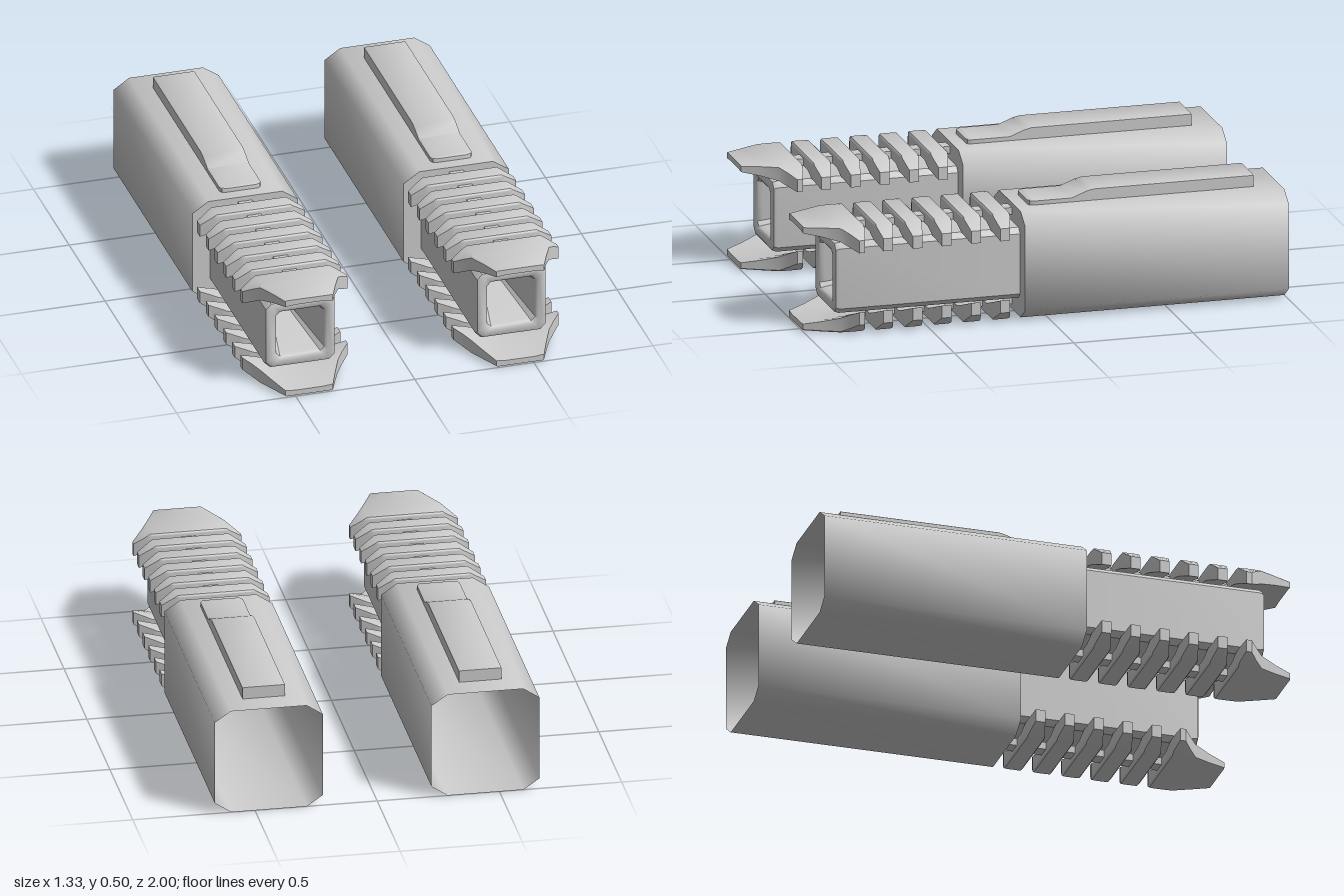
import * as THREE from 'three';
import { toCreasedNormals } from 'three/addons/utils/BufferGeometryUtils.js';

const CENTRE_X = 0.443;
const CENTRE_Y = 0.2225;

// Skin a row of matching cross-sections (counter-clockwise seen from +z).
function loft(stations, { capStart = true, capEnd = true, crease = 0.7 } = {}) {
  const n = stations[0].points.length;
  const positions = [];
  const index = [];
  for (const { z, points } of stations) {
    for (const [x, y] of points) positions.push(x, y, z);
  }
  for (let s = 0; s < stations.length - 1; s++) {
    for (let i = 0; i < n; i++) {
      const a = s * n + i;
      const b = s * n + (i + 1) % n;
      index.push(a, b, b + n, a, b + n, a + n);
    }
  }
  const cap = (s, flip) => {
    const contour = stations[s].points.map(([x, y]) => new THREE.Vector2(x, y));
    for (const [a, b, c] of THREE.ShapeUtils.triangulateShape(contour, [])) {
      index.push(s * n + a, s * n + (flip ? c : b), s * n + (flip ? b : c));
    }
  };
  if (capStart) cap(0, true);
  if (capEnd) cap(stations.length - 1, false);
  const geometry = new THREE.BufferGeometry();
  geometry.setAttribute('position', new THREE.Float32BufferAttribute(positions, 3));
  geometry.setIndex(index);
  return toCreasedNormals(geometry, crease);
}

// Rectangle with cut corners, centred on the barrel axis.
function cutRect(w, h, cx, cy) {
  return [
    [w, -h + cy], [w, h - cy], [w - cx, h], [-w + cx, h],
    [-w, h - cy], [-w, -h + cy], [-w + cx, -h], [w - cx, -h],
  ];
}

// Saddle-shaped section: flat crown, sloping shoulders, arched underside.
function saddle(z, w, low, mid, top) {
  const crown = Math.min(0.155, w * 0.95);
  const shoulder = Math.max(low + 0.01, top - (w - crown) * 0.69);
  const inner = Math.min(0.085, w * 0.6);
  const points = [
    [w, low], [w, shoulder], [crown, top], [-crown, top],
    [-w, shoulder], [-w, low], [-inner, mid], [inner, mid],
  ].map(([x, y]) => [x, y - CENTRE_Y]);
  return { z, points };
}

function createUnit() {
  const unit = new THREE.Group();
  const solid = new THREE.MeshStandardMaterial({ color: 0xcccccc });
  const open = new THREE.MeshStandardMaterial({ color: 0xcccccc, side: THREE.DoubleSide });
  const add = (parent, name, geometry, material = solid) => {
    const mesh = new THREE.Mesh(geometry, material);
    mesh.name = name;
    parent.add(mesh);
    return mesh;
  };

  // Housing: hollow eight-sided sleeve, open at the back
  const sleeve = cutRect(0.221, 0.2225, 0.066, 0.045);
  add(unit, 'housing', loft(
    [{ z: -1, points: sleeve }, { z: 0.105, points: sleeve }],
    { capStart: false, crease: 1.05 },
  ), open);

  // Stepped rail on top of the housing
  const rail = [
    [-0.89, 0.087, 0.495], [-0.22, 0.087, 0.495], [-0.19, 0.087, 0.488],
    [-0.13, 0.087, 0.465], [0.03, 0.087, 0.465], [0.045, 0.08, 0.464], [0.05, 0.068, 0.462],
  ].map(([z, w, top]) => {
    const t = top - CENTRE_Y;
    const b = 0.435 - CENTRE_Y;
    return { z, points: [[w, b], [w, t - 0.003], [w - 0.004, t], [-w + 0.004, t], [-w, t - 0.003], [-w, b]] };
  });
  add(unit, 'topRail', loft(rail));

  // Square barrel with a funnel-shaped muzzle
  const barrel = [
    [0.1, 0.148, 0.022], [0.86, 0.148, 0.022], [0.875, 0.143, 0.022], [0.88, 0.133, 0.022],
    [0.88, 0.112, 0.02], [0.872, 0.102, 0.018], [0.85, 0.097, 0.016], [0.6, 0.049, 0.01],
  ].map(([z, r, c]) => ({ z, points: cutRect(r, r, c, c) }));
  add(unit, 'barrel', loft(barrel));

  // Ribbed guard, once above and once below the barrel
  const rib = loft([
    saddle(-0.04, 0.15, 0.374, 0.395, 0.438),
    saddle(-0.034, 0.168, 0.367, 0.395, 0.444),
    saddle(-0.02, 0.221, 0.347, 0.395, 0.445),
    saddle(0.02, 0.221, 0.347, 0.395, 0.445),
    saddle(0.034, 0.168, 0.367, 0.395, 0.444),
    saddle(0.04, 0.15, 0.374, 0.395, 0.438),
  ]);
  const prong = loft([
    saddle(0.757, 0.15, 0.374, 0.395, 0.438),
    saddle(0.763, 0.175, 0.364, 0.395, 0.444),
    saddle(0.777, 0.221, 0.347, 0.395, 0.445),
    saddle(0.8, 0.221, 0.347, 0.395, 0.445),
    saddle(0.83, 0.19, 0.364, 0.397, 0.445),
    saddle(0.86, 0.163, 0.382, 0.4, 0.444),
    saddle(0.93, 0.13, 0.4, 0.407, 0.443),
    saddle(1, 0.1, 0.413, 0.417, 0.44),
  ]);
  for (const [name, turn] of [['upperGuard', 0], ['lowerGuard', Math.PI]]) {
    const guard = new THREE.Group();
    guard.name = name;
    for (let i = 0; i < 5; i++) add(guard, 'rib', rib).position.z = 0.188 + i * 0.1225;
    add(guard, 'frontProng', prong);
    const rod = add(guard, 'spine', new THREE.BoxGeometry(0.06, 0.03, 0.7));
    rod.position.set(0, 0.41 - CENTRE_Y, 0.445);
    guard.rotation.z = turn;
    unit.add(guard);
  }
  return unit;
}

export function createModel() {
  const model = new THREE.Group();
  model.name = 'twinBarrels';
  for (const [name, side] of [['leftBarrel', 1], ['rightBarrel', -1]]) {
    const unit = createUnit();
    unit.name = name;
    unit.position.set(side * CENTRE_X, CENTRE_Y, 0);
    model.add(unit);
  }
  return model;
}
